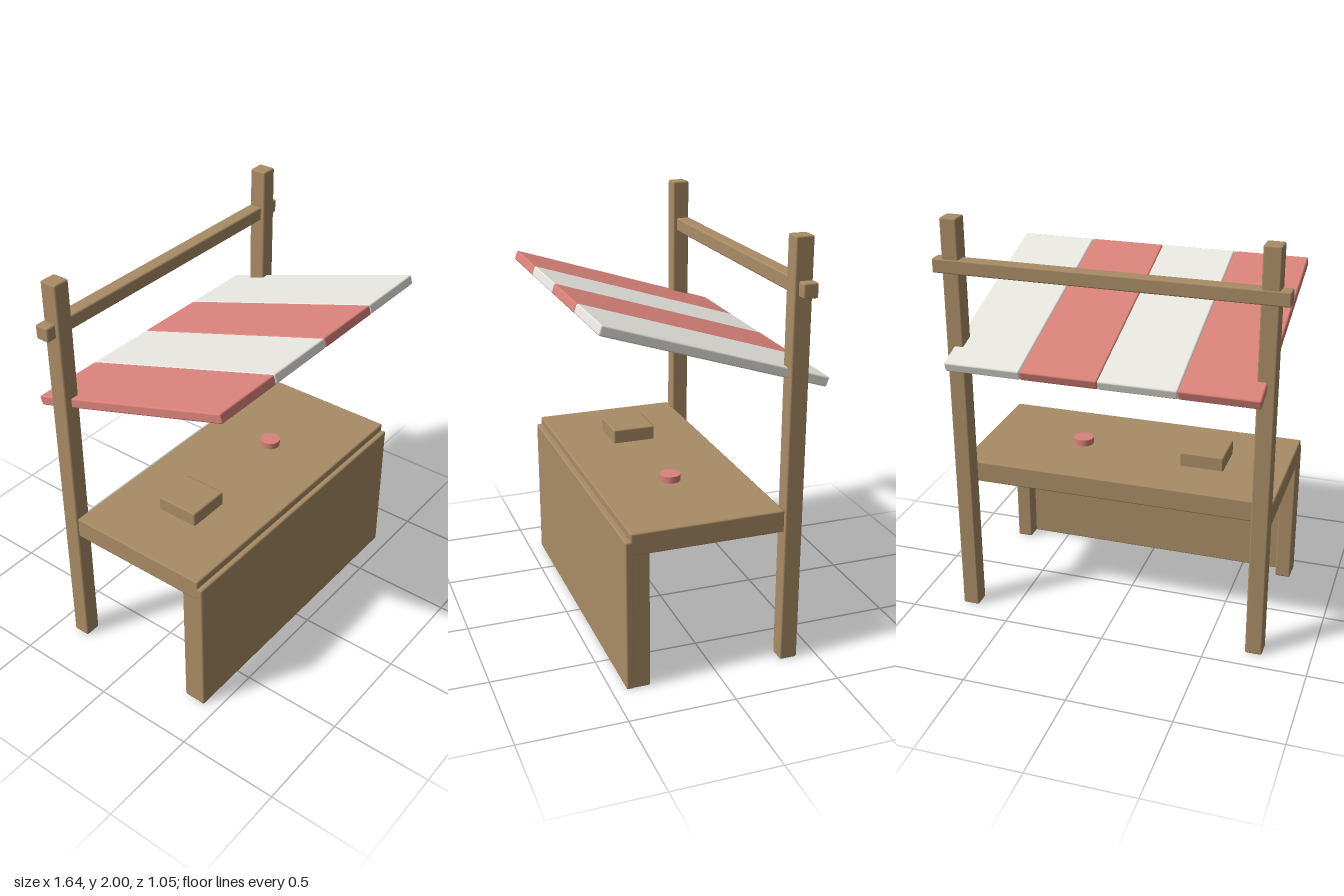
import * as THREE from 'three';
import { RoundedBoxGeometry } from 'three/addons/geometries/RoundedBoxGeometry.js';

const wood = new THREE.MeshStandardMaterial({ color: 0xa98c66 });
const red = new THREE.MeshStandardMaterial({ color: 0xd9827a });
const cream = new THREE.MeshStandardMaterial({ color: 0xe8e6df });

// Softly shaded box with a tiny bevel, given by its [min, max] range on each axis
function block(name, [x0, x1], [y0, y1], [z0, z1], material = wood) {
  const geometry = new RoundedBoxGeometry(x1 - x0, y1 - y0, z1 - z0, 1, 0.008);
  const mesh = new THREE.Mesh(geometry, material);
  mesh.name = name;
  mesh.position.set((x0 + x1) / 2, (y0 + y1) / 2, (z0 + z1) / 2);
  return mesh;
}

export function createModel() {
  const stall = new THREE.Group();
  stall.name = 'marketStall';

  // Rear posts and front counter legs, mirrored left and right
  for (const [side, s] of [['left', 1], ['right', -1]]) {
    const span = (a, b) => (s > 0 ? [a, b] : [-b, -a]);
    stall.add(block(side + 'Post', span(0.688, 0.77), [0, 2], [-0.405, -0.32]));
    stall.add(block(side + 'Leg', span(0.69, 0.768), [0, 0.7], [0.32, 0.41]));
  }

  // Cross rail passing through the posts
  stall.add(block('crossRail', [-0.818, 0.818], [1.742, 1.81], [-0.409, -0.34]));

  // Counter
  stall.add(block('counterTop', [-0.77, 0.77], [0.66, 0.766], [-0.316, 0.408]));
  stall.add(block('frontPanel', [-0.77, 0.77], [0, 0.728], [0.395, 0.433]));

  // Sloping awning made of four striped boards
  const awning = new THREE.Group();
  awning.name = 'awning';
  const width = 0.367;
  for (let i = 0; i < 4; i++) {
    const x = (i - 2) * width;
    awning.add(block('awningStripe' + (i + 1), [x, x + width], [-0.0235, 0.0235],
      [-0.545, 0.545], i % 2 ? cream : red));
  }
  awning.position.y = 1.503;
  awning.rotation.x = -0.313;
  stall.add(awning);

  // Goods on the counter
  stall.add(block('woodenBox', [-0.475, -0.26], [0.755, 0.836], [-0.06, 0.155]));
  const disc = new THREE.Mesh(new THREE.CylinderGeometry(0.05, 0.05, 0.045, 16), red);
  disc.name = 'roundItem';
  disc.position.set(0.27, 0.776, 0.047);
  stall.add(disc);

  return stall;
}
